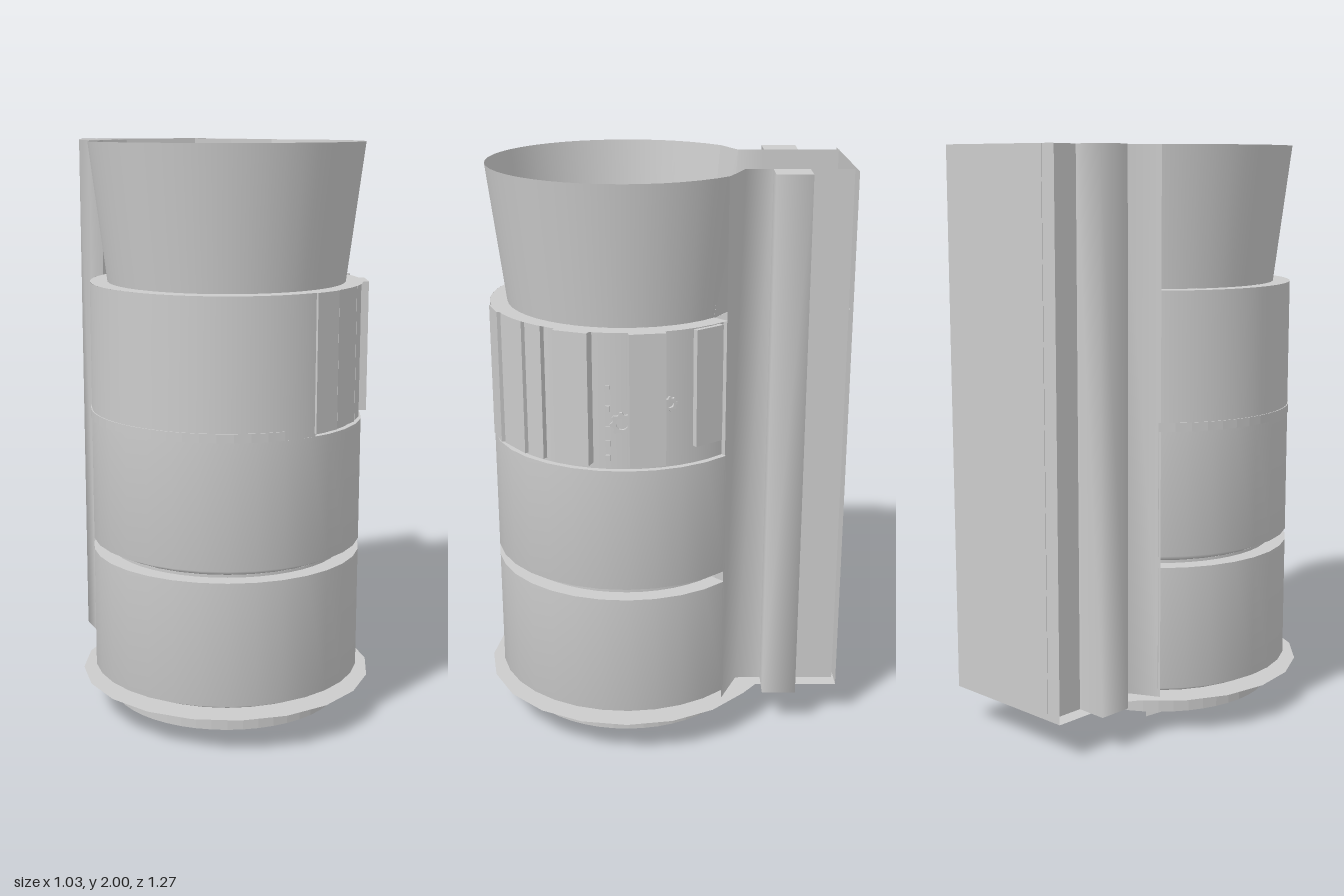
import * as THREE from 'three';

const CZ = 0.125;                 // centre of the round tower in z
const GAP = (136 * Math.PI) / 180; // walls run from -GAP to +GAP, open at the back
const mat = new THREE.MeshStandardMaterial({ color: 0xcccccc, side: THREE.DoubleSide });
const flat = new THREE.MeshStandardMaterial({ color: 0xcccccc, side: THREE.DoubleSide, flatShading: true });

function add(parent, name, geo, x = 0, y = 0, z = 0, m = flat) {
  const mesh = new THREE.Mesh(geo, m);
  mesh.name = name;
  mesh.position.set(x, y, z);
  parent.add(mesh);
  return mesh;
}

// Open sheet swept round the tower axis from [radius, height] pairs
function shell(points, from = -GAP, to = GAP, segments = 36) {
  return new THREE.LatheGeometry(points.map(p => new THREE.Vector2(...p)), segments, from, to - from);
}

// Flat horizontal outline from [x, z] corners
function outline(corners) {
  return new THREE.Shape(corners.map(([x, z]) => new THREE.Vector2(x, -z)));
}

function plate(corners) {
  return new THREE.ShapeGeometry(outline(corners)).rotateX(-Math.PI / 2);
}

// Points on a circle round the tower axis, from -end to +end
function arc(r, end, n) {
  return Array.from({ length: n + 1 }, (_, i) => {
    const a = end * (2 * i / n - 1);
    return [r * Math.sin(a), CZ + r * Math.cos(a)];
  });
}

// Standing sheet between a lower and an upper path of [x, z] points
function upright(low, y0, y1, high = low) {
  const pos = [], index = [];
  low.forEach(([x, z], i) => {
    pos.push(x, y0, z, high[i][0], y1, high[i][1]);
    if (i) index.push(2 * i - 2, 2 * i, 2 * i + 1, 2 * i - 2, 2 * i + 1, 2 * i - 1);
  });
  const geo = new THREE.BufferGeometry();
  geo.setAttribute('position', new THREE.Float32BufferAttribute(pos, 3));
  geo.setIndex(index);
  geo.computeVertexNormals();
  return geo;
}

// Thin toothed wheel lying in the xy plane
function gear(r, depth, teeth = 8) {
  const pts = [];
  for (let i = 0; i < teeth * 4; i++) {
    const a = (i / (teeth * 4)) * Math.PI * 2, q = i % 4 < 2 ? r : r * 0.8;
    pts.push(new THREE.Vector2(Math.cos(a) * q, Math.sin(a) * q));
  }
  const shape = new THREE.Shape(pts);
  shape.holes.push(new THREE.Path().absarc(0, 0, r * 0.5, 0, Math.PI * 2, true));
  return new THREE.ExtrudeGeometry(shape, { depth, bevelEnabled: false, curveSegments: 6 });
}

export function createModel() {
  const model = new THREE.Group();
  model.name = 'tieredTower';

  // Round foot, cut straight at the back, and the small wedge below it
  add(model, 'foot', new THREE.ExtrudeGeometry(outline(arc(0.41, 2.63, 40)),
    { depth: 0.08, bevelEnabled: false }).rotateX(-Math.PI / 2), 0, 0.05, 0, mat);
  const wedge = new THREE.BufferGeometry();
  wedge.setAttribute('position', new THREE.Float32BufferAttribute(
    [-0.31, 0.05, -0.04, -0.2, 0.05, 0, -0.2, 0, -0.14,
      -0.2, 0.05, 0, -0.2, 0.05, -0.14, -0.2, 0, -0.14,
      -0.2, 0.05, -0.14, -0.31, 0.05, -0.04, -0.2, 0, -0.14], 3));
  wedge.computeVertexNormals();
  add(model, 'footWedge', wedge);

  // Wide flange, running on under the back column
  add(model, 'flange', plate([...arc(0.515, 0.8 * Math.PI, 16),
    [0.24, -0.34], [0.24, -0.633], [-0.275, -0.622], [-0.275, -0.34]]), 0, 0.13, 0);

  // Two plain tiers, drawn in at the lower edge
  for (const y of [0.13, 0.6]) {
    const tier = new THREE.Group();
    tier.name = 'tier';
    tier.position.set(0, y, CZ);
    model.add(tier);
    add(tier, 'tierWall', shell([[0.41, 0], [0.472, 0.03], [0.472, 0.46]], -GAP, GAP, 24), 0, 0, 0, mat);
    add(tier, 'tierNeck', shell([[0.41, 0.46], [0.41, 0.47]]), 0, 0, 0, mat);
    add(tier, 'tierDeck', shell([[0.472, 0.46], [0.38, 0.46]], -GAP, GAP, 24), 0, 0, 0, mat);
  }

  // Third tier: smooth on its right, stepped and panelled on its left
  const tech = new THREE.Group();
  tech.name = 'panelTier';
  tech.position.set(0, 0, CZ);
  model.add(tech);
  add(tech, 'smoothWall', shell([[0.47, 1.06], [0.47, 1.53]], -GAP, 0.26, 28), 0, 0, 0, mat);
  add(tech, 'wallFootBand', shell([[0.474, 1.06], [0.474, 1.09], [0.47, 1.09]], -GAP, 0, 20));
  add(tech, 'recessedWall', shell([[0.45, 1.06], [0.45, 1.53]], 0.26, GAP, 16), 0, 0, 0, mat);
  add(tech, 'tierDeck', shell([[0.47, 1.53], [0.38, 1.53]]), 0, 0, 0, mat);
  // angle in degrees, width, bottom, top, outer radius
  for (const [deg, w, y0, y1, r] of [
    [20.5, 0.1, 1.07, 1.53, 0.475], [36, 0.13, 1.07, 1.53, 0.465], [50, 0.07, 1.07, 1.53, 0.465],
    [69, 0.12, 1.08, 1.53, 0.485], [99, 0.12, 1.08, 1.53, 0.487], [127, 0.11, 1.12, 1.52, 0.465]]) {
    const a = (deg * Math.PI) / 180, c = r - 0.02;
    add(tech, 'sidePanel', new THREE.BoxGeometry(w, y1 - y0, 0.04),
      c * Math.sin(a), (y0 + y1) / 2, c * Math.cos(a)).rotation.y = a;
  }
  for (const [deg, y, r] of [[89, 1.22, 0.04], [109, 1.28, 0.025]]) {
    const a = (deg * Math.PI) / 180;
    add(tech, 'wallGear', gear(r, 0.01), 0.45 * Math.sin(a), y, 0.45 * Math.cos(a)).rotation.y = a;
  }
  for (const y of [1.1, 1.15, 1.2, 1.27, 1.34]) {
    const a = (83 * Math.PI) / 180;
    add(tech, 'stud', new THREE.BoxGeometry(0.015, 0.02, 0.012),
      0.45 * Math.sin(a), y, 0.45 * Math.cos(a)).rotation.y = a;
  }

  // Flared open top
  add(model, 'flaredTop', shell([[0.41, 1.53], [0.47, 2]]), 0, 0, CZ, mat);

  // Floor inside the flared top, with its low fittings
  const floor = new THREE.Group();
  floor.name = 'floor';
  floor.position.set(0, 1.53, 0);
  model.add(floor);
  add(floor, 'floorDisc', new THREE.CircleGeometry(0.41, 40).rotateX(-Math.PI / 2), 0, 0.001, CZ);
  add(floor, 'columnFloor', plate([[-0.22, -0.18], [0.19, -0.18], [0.19, -0.63], [-0.22, -0.622]]));
  add(floor, 'edgeRing', shell([[0.4, 0.004], [0.33, 0.004]], -2.4, 2.4, 36), 0, 0, CZ);
  add(floor, 'centrePlate', new THREE.BoxGeometry(0.4, 0.006, 0.39), 0, 0.004, 0.115);
  add(floor, 'backPlate', new THREE.BoxGeometry(0.34, 0.006, 0.14), -0.01, 0.004, -0.15);
  add(floor, 'centreBar', new THREE.BoxGeometry(0.07, 0.008, 0.2), 0, 0.006, -0.11);
  add(floor, 'slot', new THREE.BoxGeometry(0.012, 0.01, 0.18), 0.16, 0.006, -0.03 + 0.06);
  add(floor, 'smallBlock', new THREE.BoxGeometry(0.05, 0.01, 0.05), 0.13, 0.006, 0.26);
  for (const r of [0.13, 0.105, 0.085, 0.02]) {
    add(floor, 'dialRing', new THREE.TorusGeometry(r, 0.004, 6, 32).rotateX(Math.PI / 2), 0, 0.008, 0.12);
  }
  for (const [x, z, r] of [[0.27, 0.1, 0.06], [0.21, -0.04, 0.06], [0.1, -0.11, 0.05], [0.17, -0.13, 0.045]]) {
    add(floor, 'floorGear', gear(r, 0.004).rotateX(-Math.PI / 2), x, 0.003, z);
  }

  // Square column at the back: cheeks, box sides, upright ribs and a wider back panel
  const column = new THREE.Group();
  column.name = 'backColumn';
  model.add(column);
  for (const [s, inner, outer] of [[-1, -0.22, -0.33], [1, 0.19, 0.3]]) {
    const edge = [[s * 0.335, -0.21], [inner, -0.27]];
    add(column, 'cheek', upright([...edge, [inner, -0.36]], 0.13, 2), 0, 0, 0, mat);
    add(column, 'flaredCheek', upright([[s * 0.29, -0.17], [inner, -0.235]], 1.53, 2, edge));
    add(column, 'columnSide', upright([[inner, -0.36], [inner, -0.625]], 0.13, 2));
    const rib = [[inner, -0.36], [outer, -0.36], [outer, -0.48], [inner, -0.48]];
    add(column, 'columnRib', upright(rib, 0.13, 2), 0, 0, 0, mat);
    add(column, 'ribCap', plate(rib), 0, 2, 0);
    add(column, 'ribFoot', plate(rib), 0, 0.13, 0);
  }
  add(column, 'backPanel', upright([[0.24, -0.633], [-0.275, -0.622]], 0.13, 2));
  return model;
}
